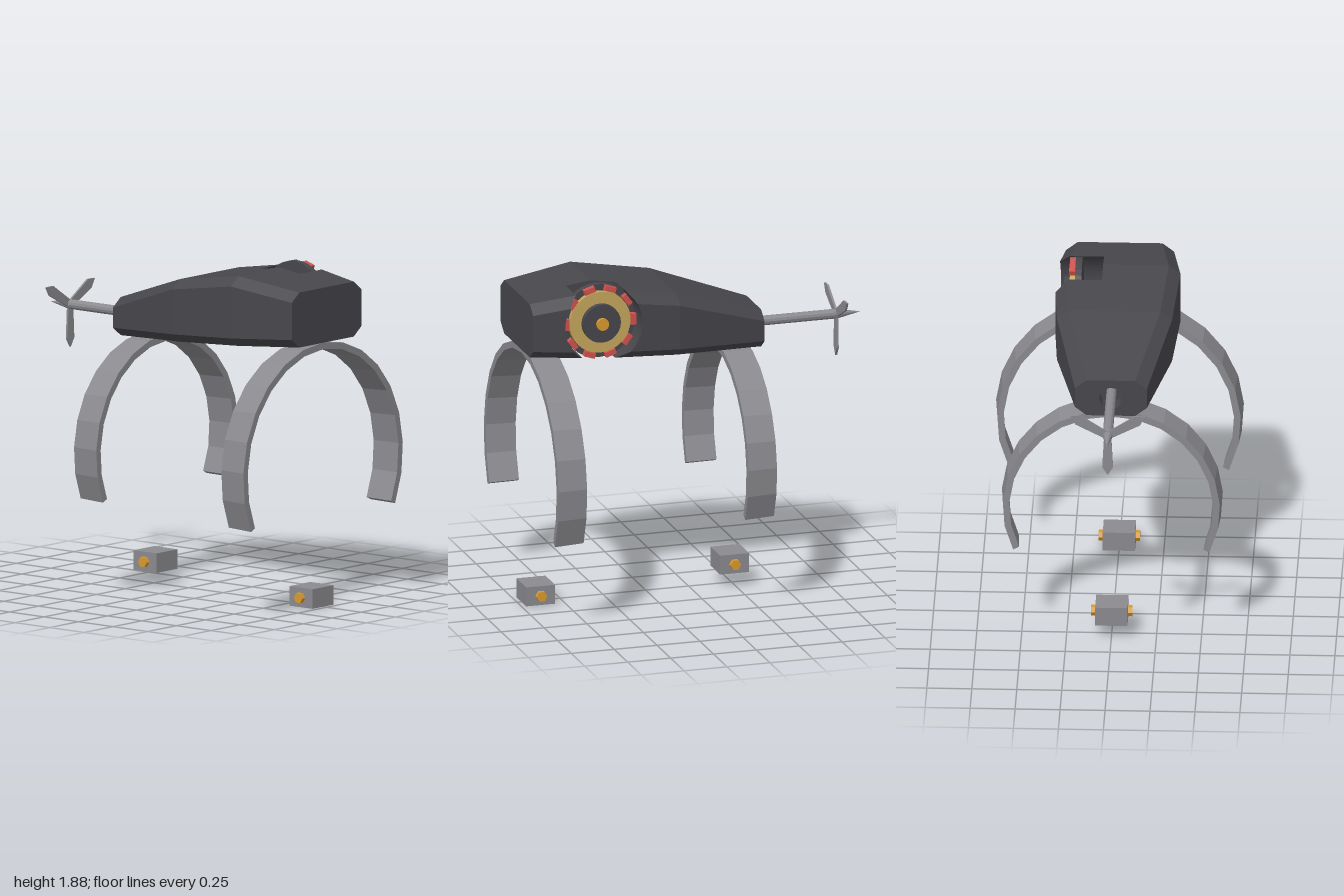
import * as THREE from 'three';

const mat = (color, side = THREE.FrontSide) =>
  new THREE.MeshStandardMaterial({ color, side, flatShading: true });
const DARK = mat(0x47474c), STEEL = mat(0x8a8a8f), GOLD = mat(0xc4a55a),
  RED = mat(0xd0524e), AMBER = mat(0xd8992f);

function add(parent, name, geometry, material) {
  const mesh = new THREE.Mesh(geometry, material);
  mesh.name = name;
  parent.add(mesh);
  return mesh;
}

// Joins rings of points, listed front to back, each counter-clockwise from the front
function loft(rings, closed) {
  const pos = [];
  for (let r = 0; r < rings.length - 1; r++) {
    const a = rings[r], b = rings[r + 1], n = a.length;
    for (let i = 0; i < (closed ? n : n - 1); i++) {
      const j = (i + 1) % n;
      for (const p of [a[i], b[i], b[j], a[i], b[j], a[j]]) pos.push(...p);
    }
  }
  const g = new THREE.BufferGeometry();
  g.setAttribute('position', new THREE.Float32BufferAttribute(pos, 3));
  g.computeVertexNormals();
  return g;
}

// Body stations: z, half width, top, bottom
const STATIONS = [[1, 0.3, 1.805, 1.495], [0.6, 0.35, 1.86, 1.467],
  [0.15, 0.32, 1.79, 1.437], [-0.38, 0.2, 1.615, 1.4]];
const CX = 0.065, CY = 0.05, SPLIT = 0.08;
const WY = 1.67, WZ = 0.597, WR = 0.223; // wheel well centre and radius
const TAIL_Y = 1.505;

function section(z) {
  let i = 0;
  while (i < 2 && z < STATIONS[i + 1][0]) i++;
  const a = STATIONS[i], b = STATIONS[i + 1], t = (a[0] - z) / (a[0] - b[0]);
  return [1, 2, 3].map(k => a[k] + (b[k] - a[k]) * t);
}

function mainRing(z) {
  const [w, t, b] = section(z);
  return [[SPLIT, t, z], [CX - w, t, z], [-w, t - CY, z], [-w, b + CY, z], [CX - w, b, z], [SPLIT, b, z]];
}

// Side of the section beyond the split, finely divided so it can meet the round well
function sideRing(zAt) {
  const corners = z => {
    const [w, t, b] = section(z);
    return [[SPLIT, b], [w - CX, b], [w, b + CY], [w, t - CY], [w - CX, t], [SPLIT, t]];
  };
  const ring = [];
  [1, 3, 12, 3, 1].forEach((steps, e) => {
    for (let s = e ? 1 : 0; s <= steps; s++) {
      const at = z => {
        const c = corners(z), f = s / steps;
        return [0, 1].map(k => c[e][k] + (c[e + 1][k] - c[e][k]) * f);
      };
      let z = zAt(WY);
      for (let n = 0; n < 12; n++) z = zAt(at(z)[1]);
      ring.push([...at(z), z]);
    }
  });
  return ring;
}

function endShape(z) {
  const [w, t, b] = section(z);
  return new THREE.Shape([[w, b + CY], [w, t - CY], [w - CX, t], [CX - w, t], [-w, t - CY],
    [-w, b + CY], [CX - w, b], [w - CX, b]].map(p => new THREE.Vector2(...p)));
}

function buildBody() {
  const body = new THREE.Group();
  body.name = 'body';
  add(body, 'bodyMain', loft(STATIONS.map(s => mainRing(s[0])), true), DARK);

  // Blocks in front of and behind the wheel well
  const well = sign => y => WZ + sign * Math.sqrt(Math.max(0, WR * WR - (y - WY) ** 2));
  const flat = ring => ring.map(([, y, z]) => [SPLIT, y, z]);
  const front = sideRing(well(1)), back = sideRing(well(-1));
  add(body, 'bodySideFront', loft([sideRing(() => 1), front, flat(front)]), DARK);
  add(body, 'bodySideBack',
    loft([flat(back), back, sideRing(() => 0.15), sideRing(() => -0.38)]), DARK);

  // End faces, the rear one with a socket for the tail shaft
  add(body, 'bodyNose', new THREE.ShapeGeometry(endShape(1)), DARK).position.z = 1;
  const rear = endShape(-0.38);
  rear.holes.push(new THREE.Path().absarc(0, TAIL_Y, 0.065, 0, Math.PI * 2, true));
  add(body, 'bodyRear', new THREE.ShapeGeometry(rear, 8), mat(0x47474c, THREE.DoubleSide)).position.z = -0.38;
  const socket = add(body, 'tailSocket', new THREE.CylinderGeometry(0.065, 0.065, 0.1, 16, 1, true),
    mat(0x47474c, THREE.BackSide));
  socket.rotation.x = Math.PI / 2;
  socket.position.set(0, TAIL_Y, -0.33);
  add(body, 'socketFloor', new THREE.CircleGeometry(0.065, 16).rotateY(Math.PI), DARK)
    .position.set(0, TAIL_Y, -0.28);
  return body;
}

function buildWheel() {
  const wheel = new THREE.Group();
  wheel.name = 'sideWheel';
  wheel.position.set(0, WY, WZ);
  const disc = (name, r, x0, x1, m, n = 32) => {
    const d = add(wheel, name, new THREE.CylinderGeometry(r, r, x1 - x0, n), m);
    d.rotation.z = -Math.PI / 2;
    d.position.x = (x0 + x1) / 2;
  };
  disc('wheelPlate', 0.212, 0.195, 0.232, DARK);
  disc('wheelRing', 0.177, 0.23, 0.262, GOLD);
  disc('wheelHub', 0.11, 0.26, 0.295, DARK, 24);
  disc('wheelPin', 0.035, 0.29, 0.315, AMBER, 16);
  for (let i = 0; i < 10; i++) {
    const a = i * Math.PI / 5;
    const block = add(wheel, 'wheelBlock', new THREE.BoxGeometry(0.035, 0.064, 0.03), RED);
    block.position.set(0.248, -Math.sin(a) * 0.195, Math.cos(a) * 0.195);
    block.rotation.x = a;
  }
  return wheel;
}

// Arched leg band, slightly narrower towards the back
function buildArch(name, radius, z0, z1) {
  const a0 = -25.5 * Math.PI / 180, a1 = Math.PI - a0, N = 16, pts = [];
  for (const r of [radius, radius - 0.038])
    for (let i = 0; i <= N; i++) {
      const a = a0 + (a1 - a0) * (r === radius ? i : N - i) / N;
      pts.push(new THREE.Vector2(Math.cos(a) * r, Math.sin(a) * r));
    }
  const g = new THREE.ExtrudeGeometry(new THREE.Shape(pts), { depth: z1 - z0, bevelEnabled: false });
  const p = g.attributes.position;
  for (let i = 0; i < p.count; i++) {
    const k = 1 - 0.017 * (1 - p.getZ(i) / (z1 - z0));
    p.setXY(i, p.getX(i) * k, p.getY(i) * k);
  }
  const mesh = new THREE.Mesh(g, STEEL);
  mesh.name = name;
  mesh.position.set(0, 0.8, z0);
  return mesh;
}

// Small block with a hexagonal bolt on each side
function buildBlock(name, y, z) {
  const block = new THREE.Group();
  block.name = name;
  block.position.set(0, y, z);
  add(block, 'block', new THREE.BoxGeometry(0.18, 0.11, 0.168), STEEL);
  for (const s of [-1, 1]) {
    const bolt = add(block, 'bolt', new THREE.CylinderGeometry(0.031, 0.031, 0.03, 6), AMBER);
    bolt.rotation.z = Math.PI / 2;
    bolt.position.x = s * 0.1;
  }
  return block;
}

function buildTail() {
  const tail = new THREE.Group();
  tail.name = 'tail';
  tail.position.y = TAIL_Y;
  const shaft = add(tail, 'tailShaft', new THREE.CylinderGeometry(0.028, 0.028, 0.585, 12), STEEL);
  shaft.rotation.x = Math.PI / 2;
  shaft.position.z = -0.5725;
  const tip = add(tail, 'tailCone', new THREE.ConeGeometry(0.028, 0.135, 12), STEEL);
  tip.rotation.x = -Math.PI / 2;
  tip.position.z = -0.9325;
  // Three pointed blades, one straight down
  const blade = new THREE.Shape([[-0.02, 0], [0.02, 0], [0.03, 0.19], [0, 0.24], [-0.03, 0.19]]
    .map(p => new THREE.Vector2(...p)));
  for (let i = 0; i < 3; i++) {
    const b = add(tail, 'propellerBlade',
      new THREE.ExtrudeGeometry(blade, { depth: 0.012, bevelEnabled: false }), STEEL);
    b.rotation.z = Math.PI + i * Math.PI * 2 / 3;
    b.position.z = -0.866;
  }
  return tail;
}

export function createModel() {
  const model = new THREE.Group();
  model.name = 'model';
  model.add(buildBody(), buildWheel(), buildTail(),
    buildArch('frontArch', 0.69, 0.805, 0.975), buildArch('rearArch', 0.615, -0.325, -0.155),
    buildBlock('frontBlock', 0.055, 0.89), buildBlock('rearBlock', 0.133, -0.24));
  return model;
}
